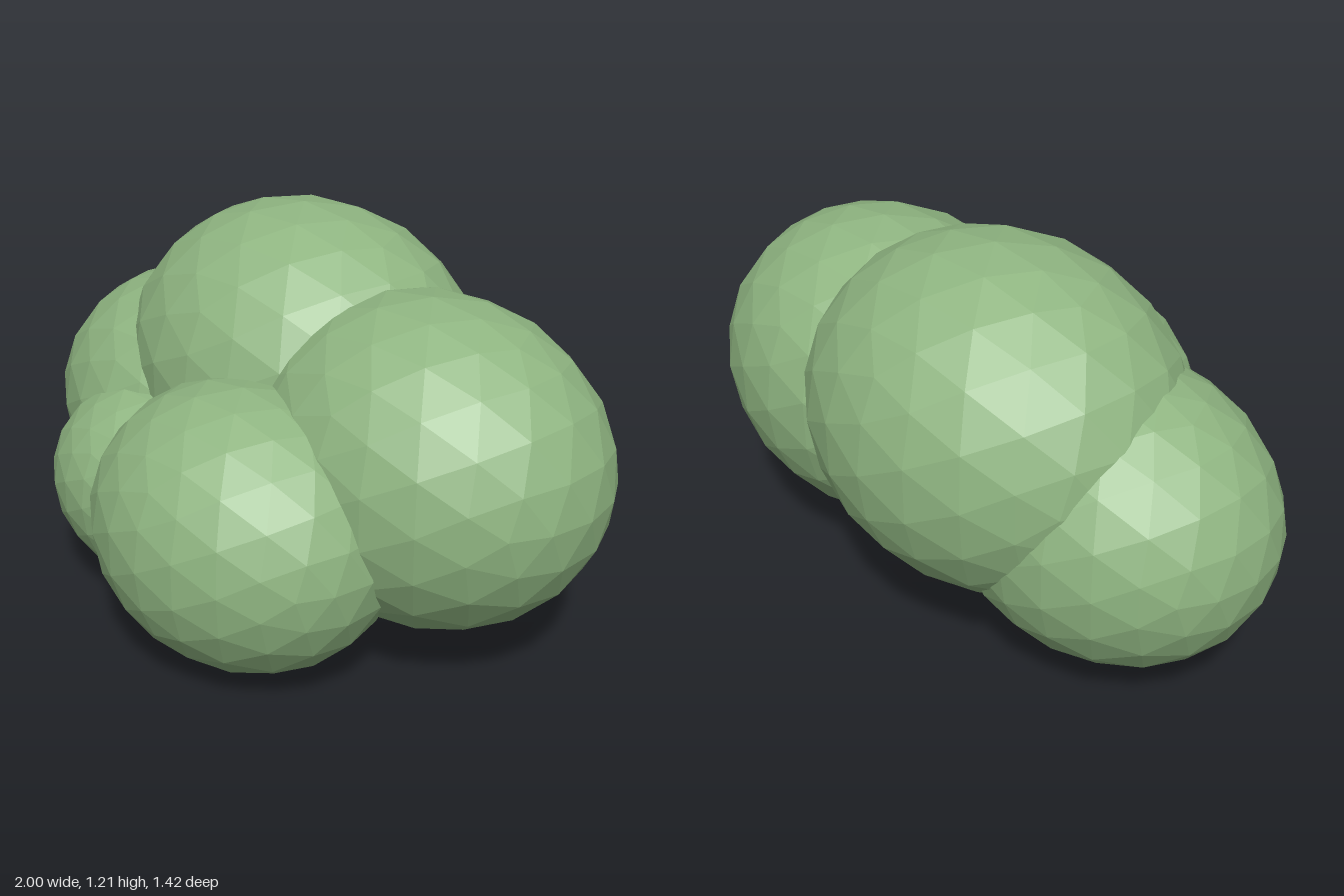
import * as THREE from 'three';

export function createModel() {
  const group = new THREE.Group();
  group.name = 'bush';
  const leafGreen = new THREE.MeshStandardMaterial({ color: 0x8fb581 });
  leafGreen.name = 'leafGreen';
  leafGreen.flatShading = true;

  // Every clump is the same faceted ball, slightly wider than tall
  const ball = new THREE.IcosahedronGeometry(1, 3);
  const clumps = [
    // name, radius, centre
    ['backClump', 0.51, [-0.14, 0.695, -0.21]],
    ['leftClump', 0.48, [0.44, 0.59, -0.115]],
    ['frontClump', 0.417, [0.125, 0.417, 0.3]],
    ['rightClump', 0.435, [-0.492, 0.5, -0.11]],
    ['smallClump', 0.318, [-0.365, 0.357, 0.195]],
  ];
  for (const [name, r, centre] of clumps) {
    const mesh = new THREE.Mesh(ball, leafGreen);
    mesh.name = name;
    mesh.position.set(...centre);
    mesh.scale.set(r * 1.167, r, r * 0.98);
    group.add(mesh);
  }
  return group;
}
